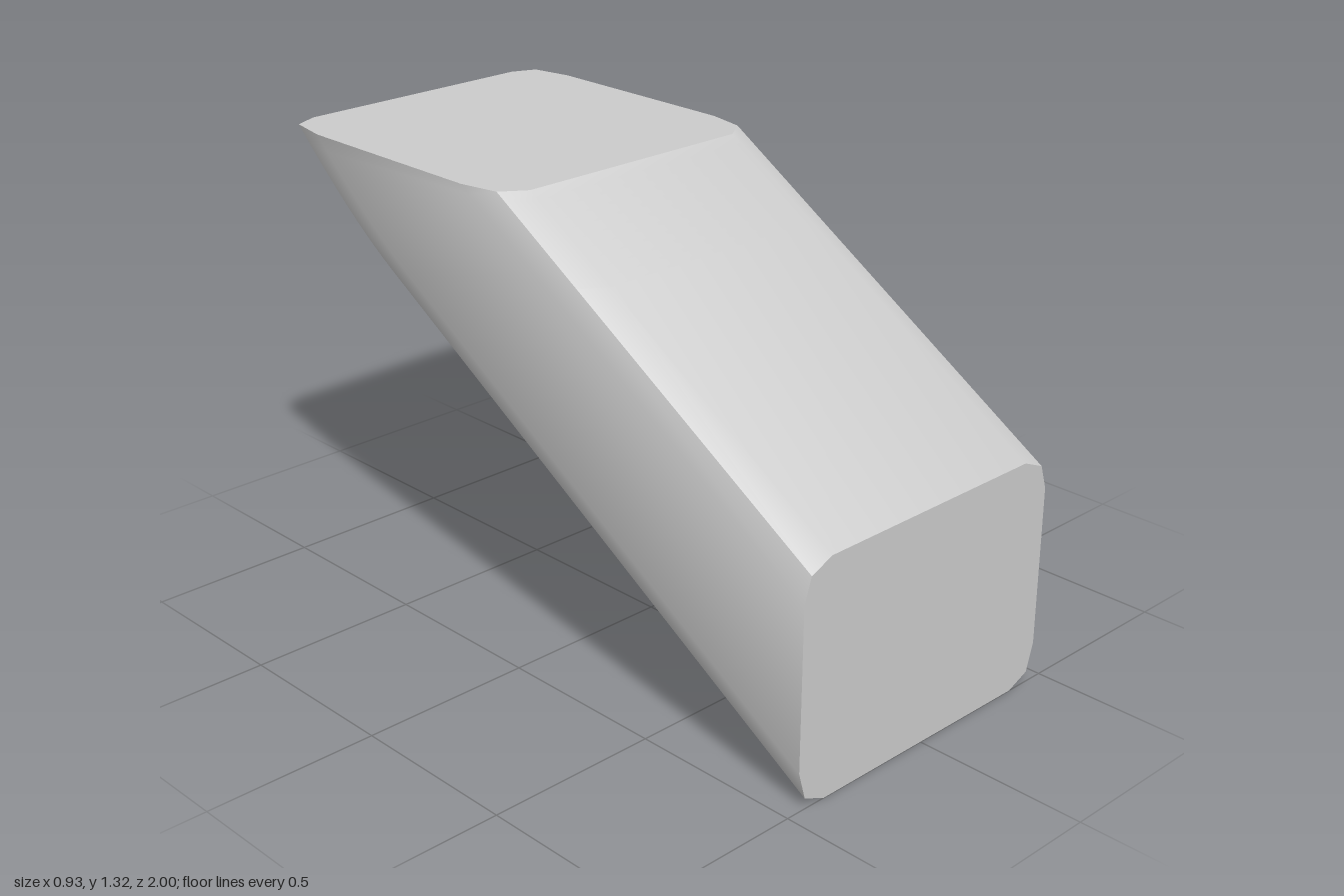
import * as THREE from 'three';
import { toCreasedNormals } from 'three/addons/utils/BufferGeometryUtils.js';

const SLOPE = 0.613, TOP = 1.32, FRONT = 1, STEPS = 10;

// Right half of the front outline, bottom to top: x, y, z where the bend starts, z at the top face
const half = [
  [0.37, 0, -0.6, -1],
  [0.44, 0.03, -0.57, -0.97],
  [0.463, 0.11, -0.46, -0.85],
  [0.463, 0.57],
  [0.44, 0.64],
  [0.37, 0.67],
];

// Path of one outline point: straight up the slope, then curving to the top face
function pathFor([x, y, bend, end]) {
  const onSlope = (z) => y + SLOPE * (FRONT - z);
  const zEnd = end ?? FRONT - (TOP - y) / SLOPE;
  const zBend = bend ?? zEnd + 0.3;
  const zMid = zBend + 0.45 * (zEnd - zBend);
  const curve = new THREE.QuadraticBezierCurve3(
    new THREE.Vector3(x, onSlope(zBend), zBend),
    new THREE.Vector3(x, onSlope(zMid), zMid),
    new THREE.Vector3(x, TOP, zEnd)
  );
  return [new THREE.Vector3(x, y, FRONT), ...curve.getPoints(STEPS)];
}

export function createModel() {
  const mirrored = half.map(([x, ...rest]) => [-x, ...rest]).reverse();
  const paths = [...half, ...mirrored].map(pathFor);
  const n = paths.length, rings = paths[0].length;
  const positions = [];
  const tri = (...points) => points.forEach((p) => positions.push(p.x, p.y, p.z));

  // Walls along the slope
  for (let i = 0; i < n; i++) {
    const p = paths[i], q = paths[(i + 1) % n];
    for (let k = 0; k < rings - 1; k++) {
      tri(p[k], p[k + 1], q[k]);
      tri(q[k], p[k + 1], q[k + 1]);
    }
  }
  // Flat front and top faces
  const last = rings - 1;
  for (let i = 1; i < n - 1; i++) {
    tri(paths[0][0], paths[i][0], paths[i + 1][0]);
    tri(paths[0][last], paths[i + 1][last], paths[i][last]);
  }

  const geometry = new THREE.BufferGeometry();
  geometry.setAttribute('position', new THREE.Float32BufferAttribute(positions, 3));
  const body = new THREE.Mesh(
    toCreasedNormals(geometry, THREE.MathUtils.degToRad(30)),
    new THREE.MeshStandardMaterial({ color: 0xcccccc })
  );
  body.name = 'slantedBlock';

  const group = new THREE.Group();
  group.name = 'slantedBlockModel';
  group.add(body);
  return group;
}
